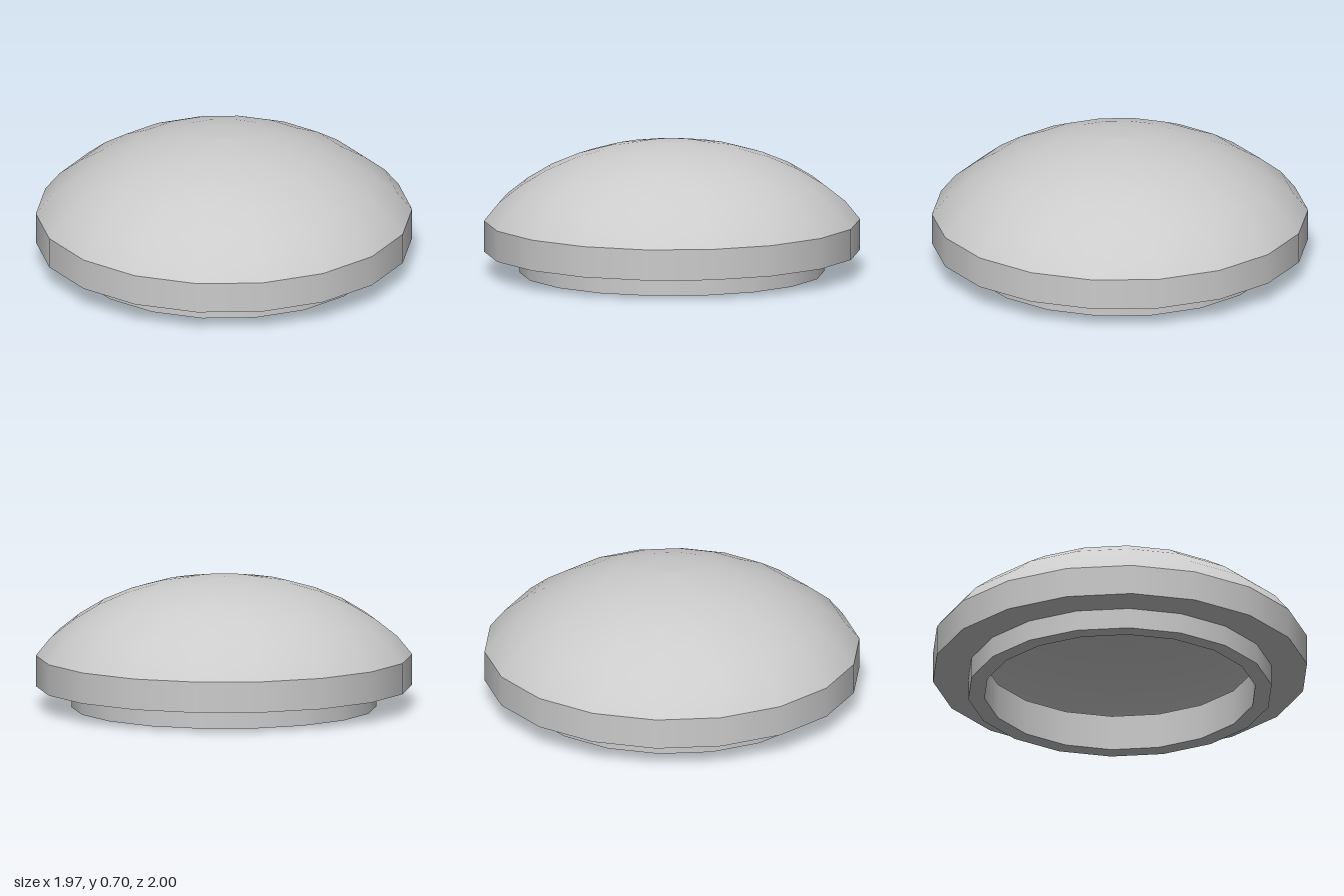
import * as THREE from 'three';

const SIDES = 18;
const material = new THREE.MeshStandardMaterial({ color: 0xcccccc, side: THREE.DoubleSide });

// Revolved band; separate bands keep the edges between them sharp
function band(name, points) {
  const profile = points.map(([r, y]) => new THREE.Vector2(r, y));
  const geometry = new THREE.LatheGeometry(profile, SIDES);
  geometry.normalizeNormals();
  const mesh = new THREE.Mesh(geometry, material);
  mesh.name = name;
  return mesh;
}

export function createModel() {
  const group = new THREE.Group();
  group.name = 'domedCap';

  const rim = 1, lip = 0.811, bore = 0.724;
  const brimY = 0.113, shelfY = 0.195, domeY = 0.278;

  // Thin dome, open underneath, from the rim up to the crown
  group.add(band('dome', [[rim, domeY], [0.92, 0.376], [0.805, 0.466], [0.67, 0.548],
    [0.52, 0.613], [0.355, 0.661], [0.18, 0.689], [0, 0.697]]));

  // Rim
  group.add(band('rimBand', [[rim, brimY], [rim, domeY]]));
  group.add(band('rimUnderside', [[lip, brimY], [rim, brimY]]));
  group.add(band('innerShelf', [[rim, shelfY], [bore, shelfY]]));

  // Fitting lip below the rim
  group.add(band('lipOuterWall', [[lip, 0], [lip, brimY]]));
  group.add(band('lipBottom', [[bore, 0], [lip, 0]]));
  group.add(band('lipInnerWall', [[bore, shelfY], [bore, 0]]));

  return group;
}
